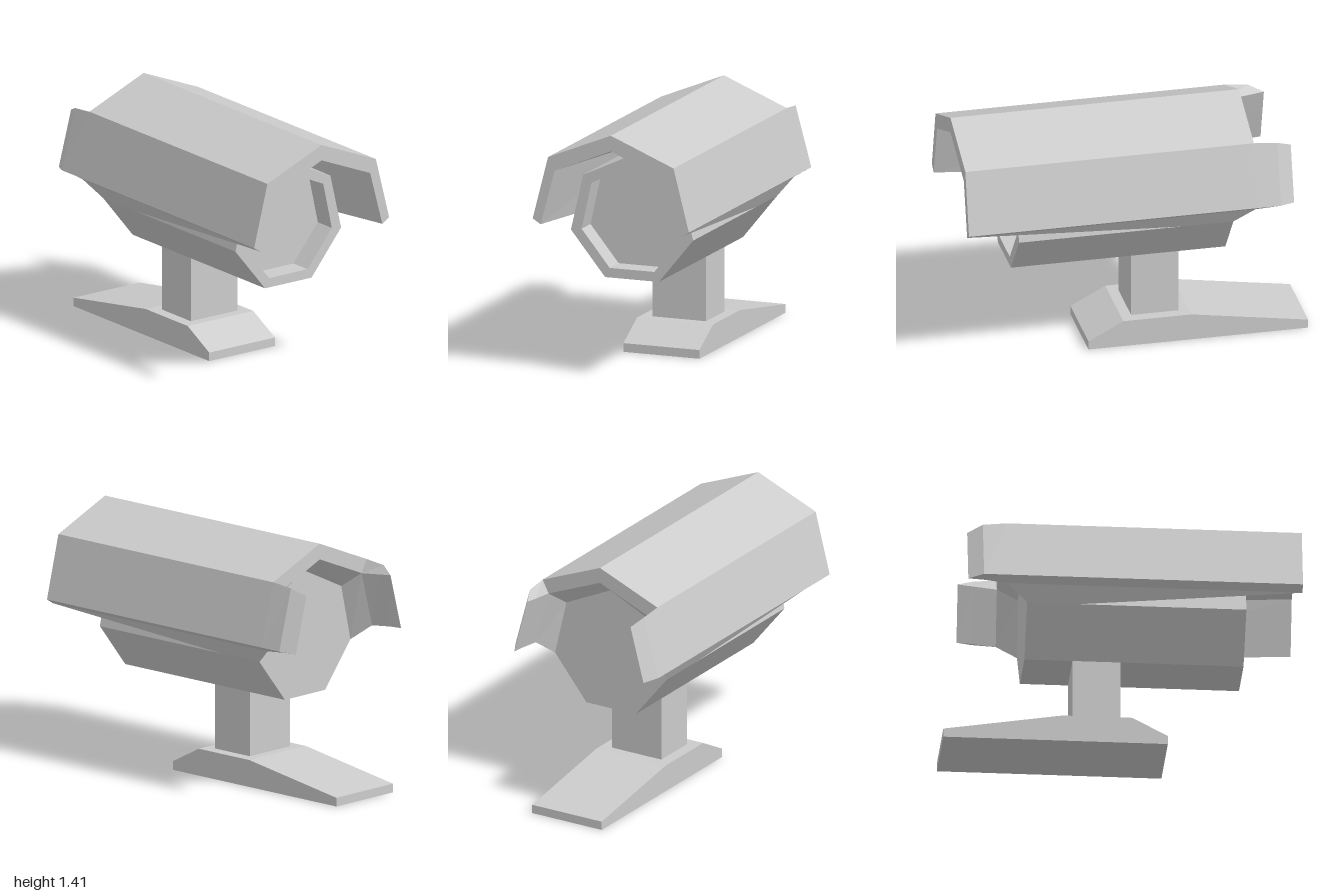
import * as THREE from 'three';

const material = new THREE.MeshStandardMaterial({ color: 0xcccccc, flatShading: true });

// Mirrors a right-hand list of [x, y] points (bottom to top) into an arch, right to left.
const arch = (half) => [...half, ...half.filter(([x]) => x > 0).reverse().map(([x, y]) => [-x, y])];

// Skins sections [z, points] from one to the next; points run counter-clockwise seen from +z.
function loft(sections) {
  const positions = [];
  const put = ([z, pts], i) => positions.push(pts[i][0], pts[i][1], z);
  for (let s = 0; s < sections.length - 1; s++) {
    const a = sections[s], b = sections[s + 1], n = a[1].length;
    for (let i = 0; i < n; i++) {
      const j = (i + 1) % n;
      put(a, i); put(b, i); put(b, j);
      put(a, i); put(b, j); put(a, j);
    }
  }
  const cap = (section, flip) => {
    const outline = section[1].map(([x, y]) => new THREE.Vector2(x, y));
    for (const f of THREE.ShapeUtils.triangulateShape(outline, [])) {
      (flip ? [f[0], f[2], f[1]] : f).forEach((i) => put(section, i));
    }
  };
  cap(sections[0], false);
  cap(sections[sections.length - 1], true);
  const geometry = new THREE.BufferGeometry();
  geometry.setAttribute('position', new THREE.Float32BufferAttribute(positions, 3));
  geometry.computeVertexNormals();
  return geometry;
}

export function createModel() {
  const group = new THREE.Group();
  const add = (name, geometry) => {
    const mesh = new THREE.Mesh(geometry, material);
    mesh.name = name;
    group.add(mesh);
    return mesh;
  };

  // Seven-sided camera housing with a recessed front window
  const shell = arch([[0.163, 0.525], [0.37, 0.78], [0.295, 1.1], [0, 1.24]]);
  const window = arch([[0.135, 0.58], [0.305, 0.79], [0.245, 1.06], [0, 1.175]]);
  add('housing', loft([[0.56, window], [0.69, window], [0.69, shell], [-0.54, shell]]));

  // Sun hood: its inside tapers down onto the housing, then flares again at the back
  const lip = [0.473, 0.9], shoulder = [0.38, 1.26], kink = [0.425, 0.87], innerShoulder = [0.34, 1.185];
  const outer = arch([lip, shoulder, [0, 1.415]]);
  const wide = arch([kink, innerShoulder, [0, 1.325]]);
  const tight = arch([[0.37, 0.78], [0.295, 1.1], [0, 1.24]]);
  const hoodSection = (inner) => [...outer, [-kink[0], kink[1]], ...[...inner].reverse(), kink];
  add('sunHood', loft([
    [1, hoodSection(wide)],
    [-0.25, hoodSection(tight)],
    [-0.54, hoodSection(tight)],
    [-0.655, hoodSection(wide)],
  ]));

  // Side flaps reaching back past the roof, bevelled to a thin edge
  const tipLow = [0.428, 0.89], tipHigh = [0.342, 1.21];
  const flap = [
    [-0.655, [lip, shoulder, innerShoulder, kink]],
    [-0.79, [lip, [0.378, 1.247], [0.341, 1.2], [0.427, 0.885]]],
    [-0.875, [tipLow, tipHigh, tipHigh, tipLow]],
  ];
  const mirrored = flap.map(([z, pts]) => [z, pts.map(([x, y]) => [-x, y]).reverse()]);
  add('leftRearFlap', loft(flap));
  add('rightRearFlap', loft(mirrored));

  // Square post
  add('post', new THREE.BoxGeometry(0.326, 0.37, 0.27)).position.set(0, 0.34, -0.135);

  // Wedge-shaped foot, drawn as a side profile and extruded across
  const profile = [[0.26, 0], [0.26, 0.05], [0.06, 0.155], [-0.33, 0.155], [-1, 0.05], [-1, 0]];
  const foot = new THREE.ExtrudeGeometry(
    new THREE.Shape(profile.map(([z, y]) => new THREE.Vector2(z, y))),
    { depth: 0.46, bevelEnabled: false },
  );
  foot.rotateY(-Math.PI / 2).translate(0.23, 0, 0);
  add('foot', foot);

  return group;
}
